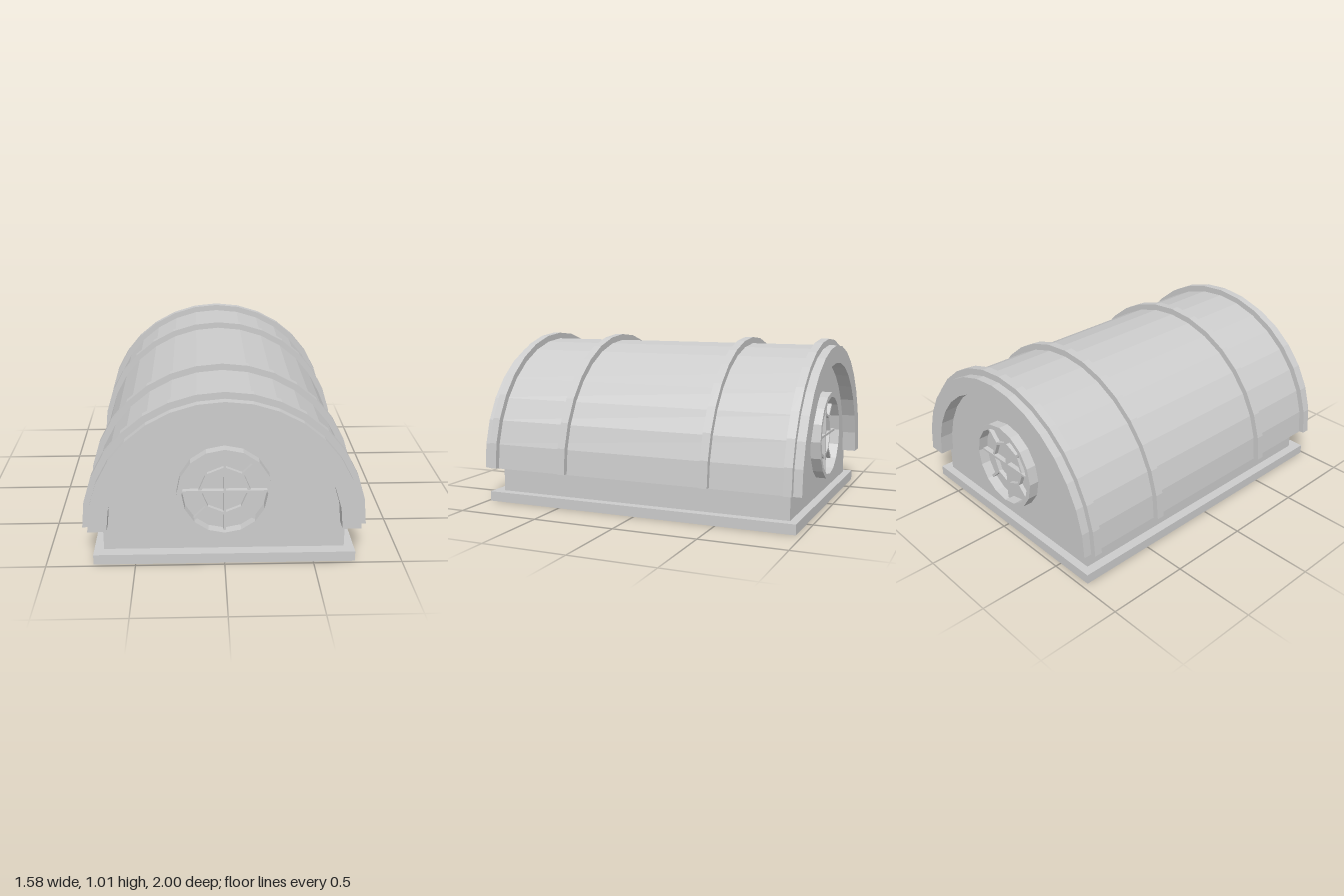
import * as THREE from 'three';

const material = new THREE.MeshStandardMaterial({ color: 0xcccccc, flatShading: true });
const SPRING = 0.215; // height where the arches begin
const END = 0.916;    // half length of the body

function addMesh(parent, name, geometry, x = 0, y = 0, z = 0) {
  const mesh = new THREE.Mesh(geometry, material);
  mesh.name = name;
  mesh.position.set(x, y, z);
  parent.add(mesh);
  return mesh;
}

// Points on a faceted circle or arc
function arc(radius, segments, sweep) {
  return Array.from({ length: segments + 1 }, (_, i) => {
    const a = (i / segments) * sweep;
    return new THREE.Vector2(Math.cos(a) * radius, Math.sin(a) * radius);
  });
}

function extrude(shape, depth) {
  return new THREE.ExtrudeGeometry(shape, { depth, bevelEnabled: false });
}

// Half-round band centred on z
function archBand(outer, inner, depth) {
  const shape = new THREE.Shape([...arc(outer, 16, Math.PI), ...arc(inner, 16, Math.PI).reverse()]);
  return extrude(shape, depth).translate(0, 0, -depth / 2);
}

// Closed faceted ring
function ring(outer, inner, sides, depth) {
  const shape = new THREE.Shape(arc(outer, sides, Math.PI * 2).slice(0, -1));
  shape.holes.push(new THREE.Path(arc(inner, sides, Math.PI * 2).slice(0, -1).reverse()));
  return extrude(shape, depth);
}

// Round window with an octagonal inner ring and eight glazing bars
function createWindow() {
  const window = new THREE.Group();
  addMesh(window, 'windowFrame', ring(0.265, 0.237, 16, 0.06));
  addMesh(window, 'innerGlazingRing', ring(0.146, 0.13, 8, 0.025));
  addMesh(window, 'horizontalBar', new THREE.BoxGeometry(0.48, 0.014, 0.03), 0, 0, 0.015);
  addMesh(window, 'verticalBar', new THREE.BoxGeometry(0.014, 0.48, 0.03), 0, 0, 0.015);
  for (let i = 0; i < 4; i++) {
    const a = Math.PI / 4 + (i * Math.PI) / 2;
    const bar = addMesh(window, 'diagonalBar', new THREE.BoxGeometry(0.105, 0.016, 0.025),
      Math.cos(a) * 0.188, Math.sin(a) * 0.188, 0.0125);
    bar.rotation.z = a;
  }
  return window;
}

export function createModel() {
  const model = new THREE.Group();
  model.name = 'barrelRoofedHut';

  // Base slab
  addMesh(model, 'base', new THREE.BoxGeometry(1.47, 0.06, 1.948), 0, 0.03, 0.01);

  // Solid body with arched end walls
  const body = new THREE.Shape([
    new THREE.Vector2(-0.68, 0.06 - SPRING),
    new THREE.Vector2(0.68, 0.06 - SPRING),
    ...arc(0.68, 16, Math.PI),
  ]);
  addMesh(model, 'body', extrude(body, END * 2), 0, SPRING, -END);

  // Barrel roof, overhanging both ends
  addMesh(model, 'roof', archBand(0.757, 0.652, 2), 0, SPRING, 0);

  // Raised ribs over the roof
  for (const z of [-0.927, -0.45, 0.45, 0.927]) {
    addMesh(model, 'roofRib', archBand(0.79, 0.74, 0.048), 0, SPRING + 0.005, z);
  }

  // A window in each end wall
  for (const side of [1, -1]) {
    const window = createWindow();
    window.name = side > 0 ? 'frontWindow' : 'backWindow';
    window.position.set(0, 0.425, side * END);
    window.rotation.y = side > 0 ? 0 : Math.PI;
    model.add(window);
  }
  return model;
}
